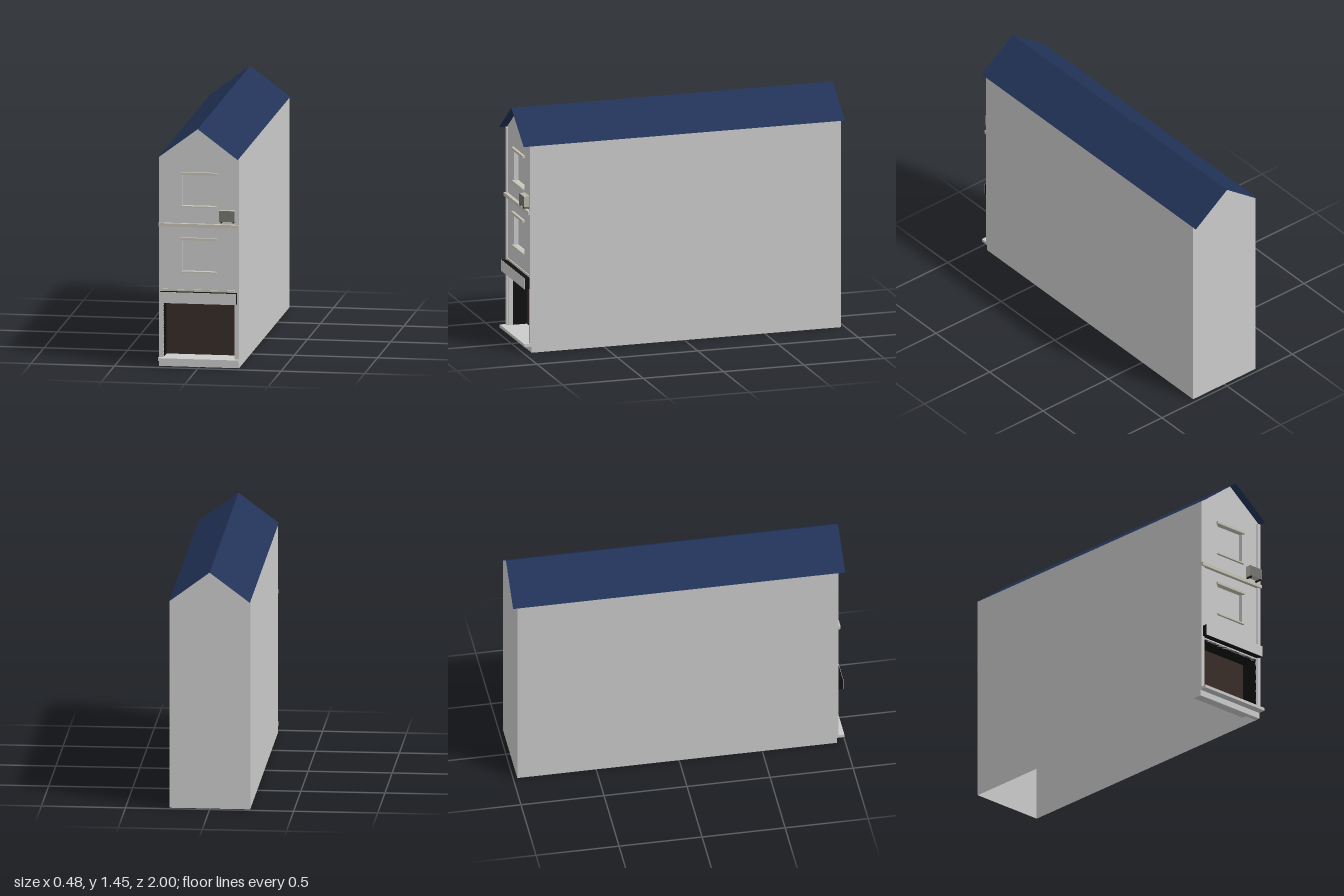
import * as THREE from 'three';

const W = 0.24, EAVE = 1.265, RIDGE = 1.445, BACK = -0.975, FRONT = 0.95;

const mat = (color, side = THREE.FrontSide) =>
  new THREE.MeshStandardMaterial({ color, side, flatShading: true });

export function createModel() {
  const model = new THREE.Group();
  const grey = mat(0xcccccc), greyThin = mat(0xcccccc, THREE.DoubleSide);
  const stone = mat(0xc6c4b6), black = mat(0x111111);
  const blackThin = mat(0x111111, THREE.DoubleSide);

  const add = (name, geometry, material, parent = model) => {
    const mesh = new THREE.Mesh(geometry, material);
    mesh.name = name;
    parent.add(mesh);
    return mesh;
  };
  // Box given by its minimum and maximum on each axis
  const box = (name, x0, x1, y0, y1, z0, z1, material, parent) => {
    const m = add(name, new THREE.BoxGeometry(x1 - x0, y1 - y0, z1 - z0), material, parent);
    m.position.set((x0 + x1) / 2, (y0 + y1) / 2, (z0 + z1) / 2);
    return m;
  };
  // Flat quad spanned by two edges from a corner, normal along a x b
  const quad = (name, corner, a, b, material) => {
    const o = new THREE.Vector3(...corner);
    const u = new THREE.Vector3(...a), v = new THREE.Vector3(...b);
    const g = new THREE.BufferGeometry().setFromPoints([
      o, o.clone().add(u), o.clone().add(u).add(v), o.clone().add(v)]);
    g.setIndex([0, 1, 2, 0, 2, 3]);
    g.computeVertexNormals();
    return add(name, g, material);
  };
  // Gable outline, shared by front and back
  const gable = (w) => new THREE.Shape([
    [-w, 0], [w, 0], [w, EAVE], [0, RIDGE - 0.002], [-w, EAVE],
  ].map(([x, y]) => new THREE.Vector2(x, y)));
  const hole = (x, y0, y1) => new THREE.Path([
    [-x, y0], [-x, y1], [x, y1], [x, y0],
  ].map(([px, py]) => new THREE.Vector2(px, py)));

  // Hollow shell, open underneath
  const length = FRONT - BACK;
  quad('leftWall', [W, 0, FRONT], [0, 0, -length], [0, EAVE, 0], greyThin);
  quad('rightWall', [-W, 0, BACK], [0, 0, length], [0, EAVE, 0], greyThin);
  add('backWall', new THREE.ShapeGeometry(gable(W)), greyThin).position.z = BACK;

  // Front wall with window and shop openings
  const floors = [[0.575, 0.77], [0.97, 1.165]];
  const facade = gable(W - 0.001);
  facade.holes.push(hole(0.213, 0.04, 0.38));
  floors.forEach(([y0, y1]) => facade.holes.push(hole(0.1, y0, y1)));
  add('frontWall', new THREE.ExtrudeGeometry(facade, { depth: 0.03, bevelEnabled: false }), grey)
    .position.z = FRONT - 0.03;

  // Thin pitched roof sheets
  const roofMat = mat(0x223358, THREE.DoubleSide);
  quad('roofLeft', [W, EAVE, 1], [0, 0, -2], [-W, RIDGE - EAVE, 0], roofMat);
  quad('roofRight', [-W, EAVE, -1], [0, 0, 2], [W, RIDGE - EAVE, 0], roofMat);

  // Corner pilasters
  for (const s of [-1, 1]) {
    const a = s * 0.216, b = s * W;
    box('pilaster', Math.min(a, b), Math.max(a, b), 0.055, EAVE, FRONT - 0.01, 0.96, grey);
  }

  // Horizontal bands between the storeys
  box('upperBand', -W, W, 0.845, 0.866, FRONT - 0.01, 0.972, stone);
  box('lowerBand', -0.215, 0.215, 0.455, 0.467, FRONT - 0.01, 0.957, stone);

  // Windows
  floors.forEach(([y0, y1]) => {
    const g = new THREE.Group();
    g.name = 'window';
    model.add(g);
    box('pane', -0.11, 0.11, y0 - 0.01, y1 + 0.01, 0.915, 0.922, grey, g);
    box('lintel', -0.11, 0.11, y1 - 0.005, y1 + 0.01, FRONT - 0.01, 0.966, stone, g);
    box('sill', -0.105, 0.105, y0 - 0.007, y0 + 0.002, FRONT - 0.01, 0.964, stone, g);
  });

  // Shop recess
  const inner = 0.835, depth = FRONT - inner;
  quad('shopBack', [-0.213, 0.05, inner], [0.426, 0, 0], [0, 0.33, 0], mat(0x372c27, THREE.DoubleSide));
  for (const x of [-0.213, 0.213])
    quad('shopSide', [x, 0.05, inner], [0, 0, depth], [0, 0.33, 0], blackThin);
  quad('shopCeiling', [-0.213, 0.38, inner], [0.426, 0, 0], [0, 0, depth], blackThin);
  box('shopFloor', -0.213, 0.213, 0.037, 0.054, inner, FRONT, grey);
  box('shopStep', -W, W, 0.037, 0.055, FRONT - 0.005, 0.995, grey);

  // Blank fascia board
  box('fasciaBody', -0.228, 0.228, 0.388, 0.455, FRONT, 0.989, black);
  box('fasciaFace', -0.228, 0.228, 0.388, 0.455, 0.989, 0.991, grey);

  // Wall-mounted air conditioner
  const ac = new THREE.Group();
  ac.name = 'airConditioner';
  model.add(ac);
  box('casing', 0.126, 0.22, 0.888, 0.954, 0.955, 0.99, mat(0xb8b6a8), ac);
  box('grille', 0.126, 0.22, 0.888, 0.954, 0.99, 0.992, mat(0x757571), ac);
  for (const x of [0.138, 0.21])
    box('bracket', x - 0.004, x + 0.004, 0.88, 0.888, FRONT, 0.992, black, ac);

  return model;
}
